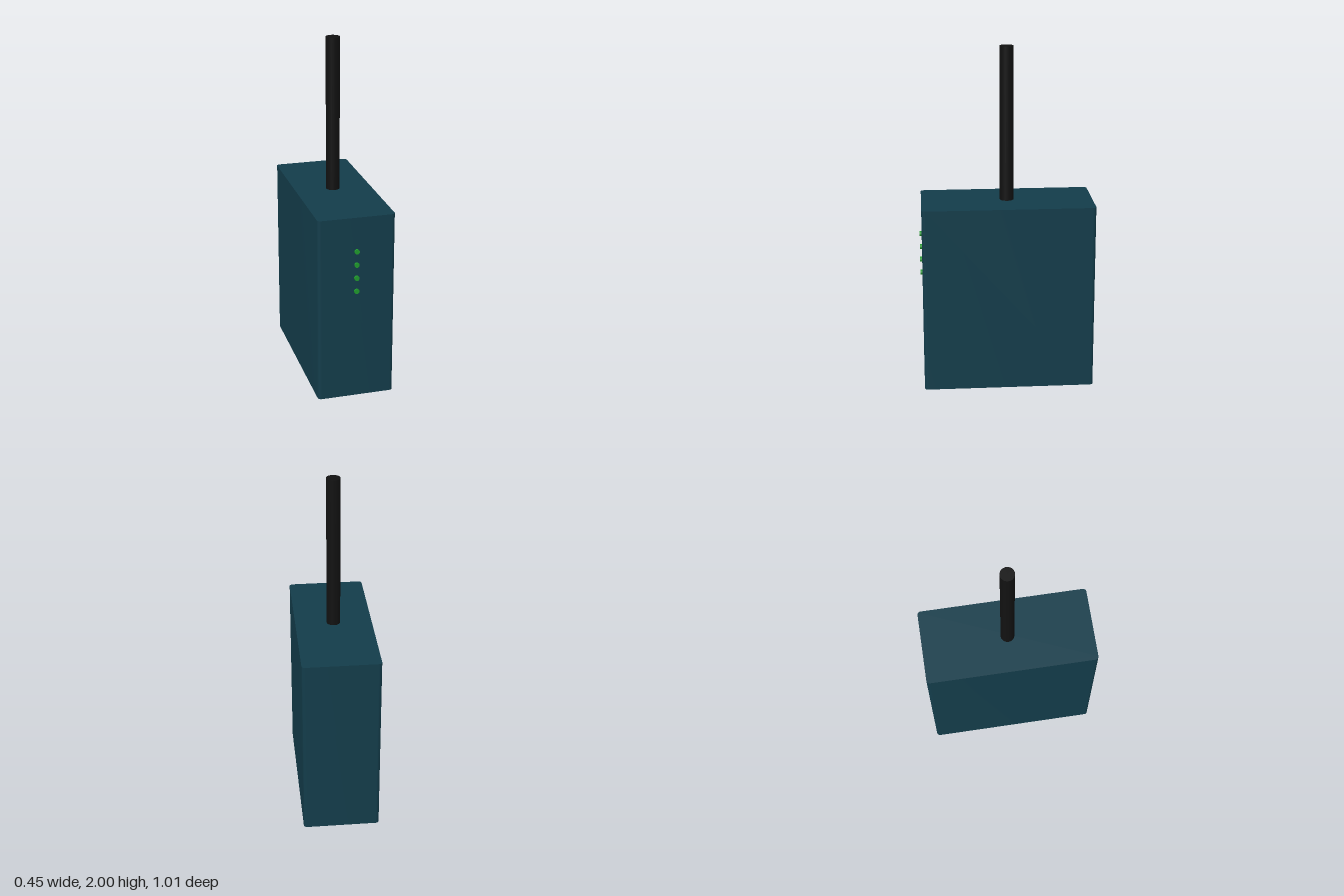
import * as THREE from 'three';
import { toCreasedNormals } from 'three/addons/utils/BufferGeometryUtils.js';

const BODY_W = 0.446, BODY_H = 1.1, BODY_D = 1.0, CORNER = 0.02;
const BODY_Z = -0.006; // the lights stand proud of the front

const paint = (color) => new THREE.MeshStandardMaterial({ color });

function part(name, geometry, material, x, y, z) {
  const mesh = new THREE.Mesh(geometry, material);
  mesh.name = name;
  mesh.position.set(x, y, z);
  return mesh;
}

// Rectangle with rounded corners, centred on the origin
function roundedRect(w, d, r) {
  const x = w / 2 - r, y = d / 2 - r;
  const s = new THREE.Shape();
  s.absarc(x, y, r, 0, Math.PI / 2);
  s.absarc(-x, y, r, Math.PI / 2, Math.PI);
  s.absarc(-x, -y, r, Math.PI, Math.PI * 1.5);
  s.absarc(x, -y, r, Math.PI * 1.5, Math.PI * 2);
  s.closePath();
  return s;
}

export function createModel() {
  const model = new THREE.Group();
  model.name = 'antennaBox';

  // Case: rounded upright edges, sharp top and bottom
  const caseGeometry = new THREE.ExtrudeGeometry(roundedRect(BODY_W, BODY_D, CORNER), {
    depth: BODY_H, bevelEnabled: false, curveSegments: 6,
  }).rotateX(-Math.PI / 2);
  model.add(part('case', toCreasedNormals(caseGeometry, 0.6), paint(0x133c4a), 0, 0, BODY_Z));

  // Antenna rod on the middle of the top
  const rod = new THREE.CylinderGeometry(0.04, 0.04, 0.9, 24);
  model.add(part('antenna', rod, paint(0x111111), 0, BODY_H + 0.45, BODY_Z));

  // Column of four indicator lights on the front
  const lights = new THREE.Group();
  lights.name = 'indicatorLights';
  const lens = new THREE.CylinderGeometry(0.015, 0.015, 0.024, 8)
    .rotateY(Math.PI / 8).rotateX(Math.PI / 2);
  const green = paint(0x1f9a2c);
  for (let i = 0; i < 4; i++) {
    lights.add(part('indicatorLight', lens, green, 0, 0.9 - i * 0.08, BODY_Z + BODY_D / 2));
  }
  model.add(lights);

  return model;
}
